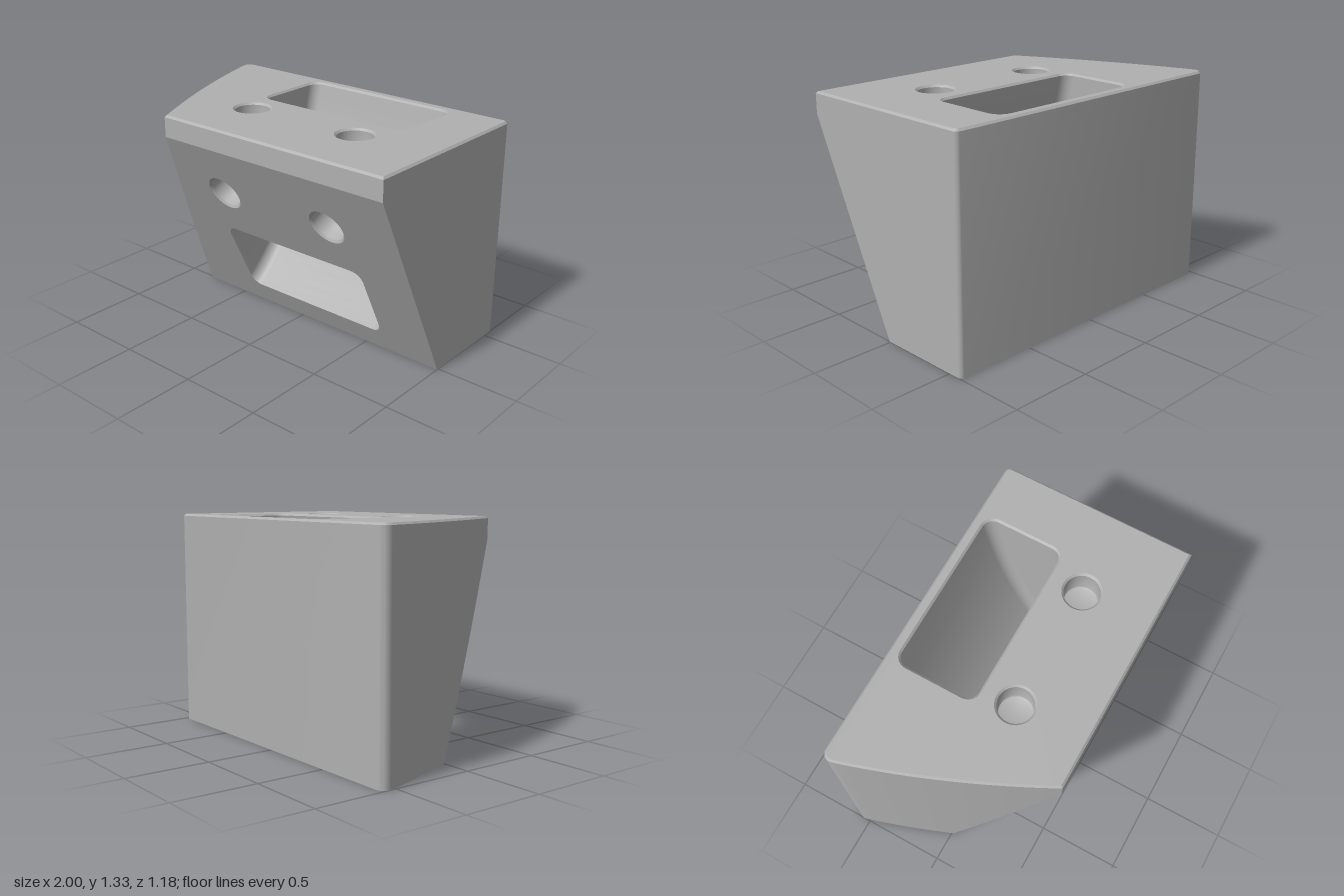
import * as THREE from 'three';
import { toCreasedNormals } from 'three/addons/utils/BufferGeometryUtils.js';

const TOP = 1.33, BEVEL = 0.012, HALF = 0.59, FOOT = 0.01, LIP = 1.2;
const SLOPE = LIP / (HALF - FOOT);               // rise of the leaning front per unit z
const lowEdge = z => Math.max(0, (z - FOOT) * SLOPE);
const V = (x, y, z) => new THREE.Vector3(x, y, z);

// Skin between closed rings of points; counter-clockwise rings going up face outward, going down inward
function loft(rings, crease = 0.5) {
  const pos = [];
  for (let k = 0; k < rings.length - 1; k++) {
    const a = rings[k], b = rings[k + 1], n = a.length;
    for (let i = 0; i < n; i++) {
      const j = (i + 1) % n;
      for (const p of [a[i], a[j], b[j], a[i], b[j], b[i]]) pos.push(p.x, p.y, p.z);
    }
  }
  const g = new THREE.BufferGeometry();
  g.setAttribute('position', new THREE.Float32BufferAttribute(pos, 3));
  return toCreasedNormals(g, crease);
}

// Arc in plan, counter-clockwise from above, angles in degrees
function arc(cx, cz, rx, rz, from, to, n) {
  return Array.from({ length: n + 1 }, (_, i) => {
    const a = THREE.MathUtils.degToRad(from + (to - from) * i / n);
    return [cx + rx * Math.cos(a), cz - rz * Math.sin(a)];
  });
}
const ellipse = (cx, cz, rx, rz) => arc(cx, cz, rx, rz, 0, 360, 48).slice(0, 48);

function roundRect(x0, x1, z0, z1, rx, rz) {
  return [[x1 - rx, z0 + rz], [x0 + rx, z0 + rz], [x0 + rx, z1 - rz], [x1 - rx, z1 - rz]]
    .flatMap(([x, z], i) => arc(x, z, rx, rz, i * 90, i * 90 + 90, 8));
}

// Mitred inset of a closed plan outline
function inset(pts, d) {
  const n = pts.length;
  return pts.map((p, i) => {
    const q = pts[(i + n - 1) % n], r = pts[(i + 1) % n];
    const e = new THREE.Vector2(p[0] - q[0], p[1] - q[1]).normalize();
    const f = new THREE.Vector2(r[0] - p[0], r[1] - p[1]).normalize();
    const k = d / (1 + e.dot(f));
    return [p[0] + (e.y + f.y) * k, p[1] - (e.x + f.x) * k];
  });
}

function flat(outline, holes = []) {
  const vec = l => l.map(p => new THREE.Vector2(p[0], p[1]));
  const s = new THREE.Shape(vec(outline));
  holes.forEach(h => s.holes.push(new THREE.Path(vec(h))));
  return new THREE.ShapeGeometry(s);
}

// Plan outline: straight right side, rounded back corners, bowed left side
function planOutline() {
  const pts = [[1, HALF], [1, FOOT], ...arc(0.97, -0.56, 0.03, 0.03, 0, 90, 6),
    ...arc(-0.95, -0.54, 0.05, 0.05, 90, 192, 8)];
  const bow = z => -0.81 + 0.4067 * (z - FOOT) + 0.1015 * (z - FOOT) ** 2;
  for (let i = 0; i < 10; i++) { const z = -0.5 + 0.051 * i; pts.push([bow(z), z]); }
  for (let i = 0; i <= 12; i++) { const z = FOOT + (HALF - FOOT) * i / 12; pts.push([bow(z), z]); }
  return pts;
}

export function createModel() {
  const group = new THREE.Group();
  const grey = new THREE.MeshStandardMaterial({ color: 0xb0b0b0 });
  grey.name = 'grey';
  const add = (name, geo) => {
    const m = new THREE.Mesh(geo, grey);
    m.name = name;
    group.add(m);
    return m;
  };

  const outline = planOutline();
  const topOutline = inset(outline, BEVEL);
  const R = 0.115;                                // hole rim radius
  const topHoles = [-0.26, 0.495], frontHoles = [-0.228, 0.53];
  const holeZ = 0.16, holeY = 0.888;
  const lean = Math.atan(1 / SLOPE);

  // Outer walls with bevelled top edge
  add('sideWalls', loft([
    outline.map(([x, z]) => V(x, lowEdge(z), z)),
    outline.map(([x, z]) => V(x, TOP - BEVEL, z)),
    topOutline.map(([x, z]) => V(x, TOP, z)),
  ]));

  // Top face with slot mouth and two round holes
  const mouth = roundRect(-0.367, 0.667, -0.537, -0.033, 0.08, 0.08);
  const flip = l => l.map(([x, z]) => [x, -z]);
  add('topFace', flat(flip(topOutline),
    [flip(mouth), ...topHoles.map(x => flip(ellipse(x, holeZ, R, R)))]).rotateX(-Math.PI / 2).translate(0, TOP, 0));

  // Underside
  add('underside', flat(outline.filter(p => p[1] < FOOT + 1e-6)).rotateX(Math.PI / 2));

  // Leaning front with window and two round holes
  const front = flat(
    outline.filter(p => p[1] > FOOT - 1e-6).map(([x, z]) => [x, lowEdge(z)]),
    [roundRect(-0.355, 0.655, 0.14, 0.6, 0.065, 0.065),
      ...frontHoles.map(x => ellipse(x, holeY, R, R * Math.cos(lean)))]);
  const fp = front.attributes.position;
  for (let i = 0; i < fp.count; i++) fp.setZ(i, FOOT + fp.getY(i) / SLOPE);
  front.computeVertexNormals();
  add('leaningFront', front);

  // Curved chute from the top mouth to the front window
  const end = y => FOOT + y / SLOPE;
  const back = new THREE.QuadraticBezierCurve3(V(0, TOP - BEVEL, -0.525), V(0, 0.5, -0.36), V(0, 0.14, end(0.14)));
  const fore = new THREE.QuadraticBezierCurve3(V(0, TOP - BEVEL, -0.045), V(0, 0.85, 0.04), V(0, 0.6, end(0.6)));
  const section = roundRect(-0.355, 0.655, 0, 1, 0.065, 0.141);
  const rings = [mouth.map(([x, z]) => V(x, TOP, z))];
  for (let k = 0; k <= 20; k++) {
    const b = back.getPoint(k / 20), f = fore.getPoint(k / 20);
    rings.push(section.map(([x, v]) => b.clone().lerp(f, v).setX(x)));
  }
  add('chute', loft(rings));

  // Blind round holes: bevelled rim, straight wall, rounded floor edge
  const profile = [[R, 0], [0.103, -0.012], [0.103, -0.13], [0.098, -0.142], [0.085, -0.148], [0, -0.148]];
  const hole = loft(profile.map(([r, y]) => ellipse(0, 0, r, r).map(([x, z]) => V(x, y, z))));
  topHoles.forEach(x => add('topHole', hole).position.set(x, TOP, holeZ));
  frontHoles.forEach(x => {
    const m = add('frontHole', hole);
    m.position.set(x, holeY, end(holeY));
    m.rotation.x = Math.PI / 2 + lean;
  });
  return group;
}
